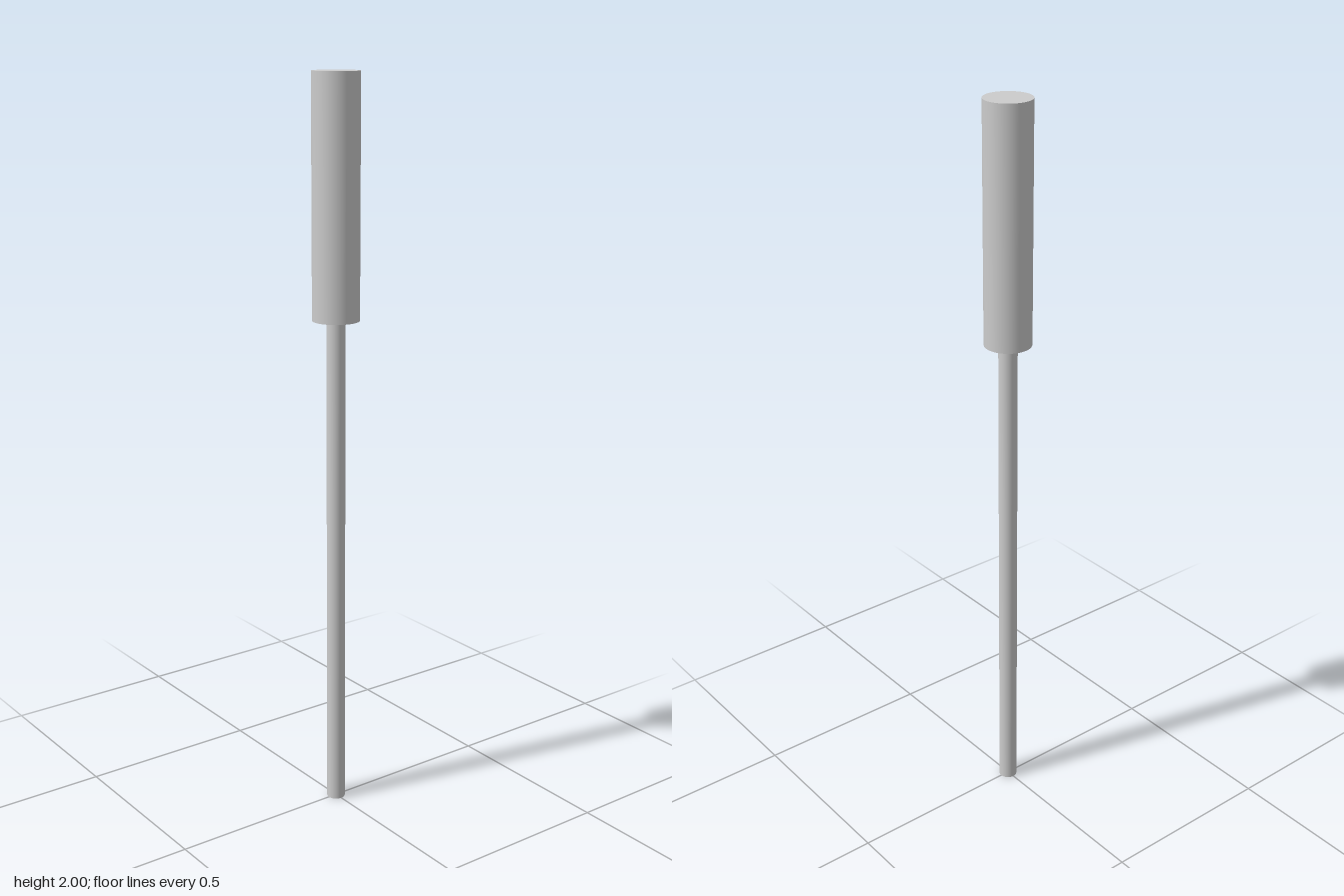
import * as THREE from 'three';

const material = new THREE.MeshStandardMaterial({ color: 0xcccccc });

// Upright capped cylinder between two heights
function rod(name, radius, bottom, top) {
  const geometry = new THREE.CylinderGeometry(radius, radius, top - bottom, 64);
  const mesh = new THREE.Mesh(geometry, material);
  mesh.name = name;
  mesh.position.y = (bottom + top) / 2;
  return mesh;
}

export function createModel() {
  const group = new THREE.Group();
  group.name = 'rodWithHandle';
  group.add(
    rod('shaft', 0.025, 0, 1.37), // thin lower rod
    rod('handle', 0.0625, 1.37, 2) // thick upper grip
  );
  return group;
}
